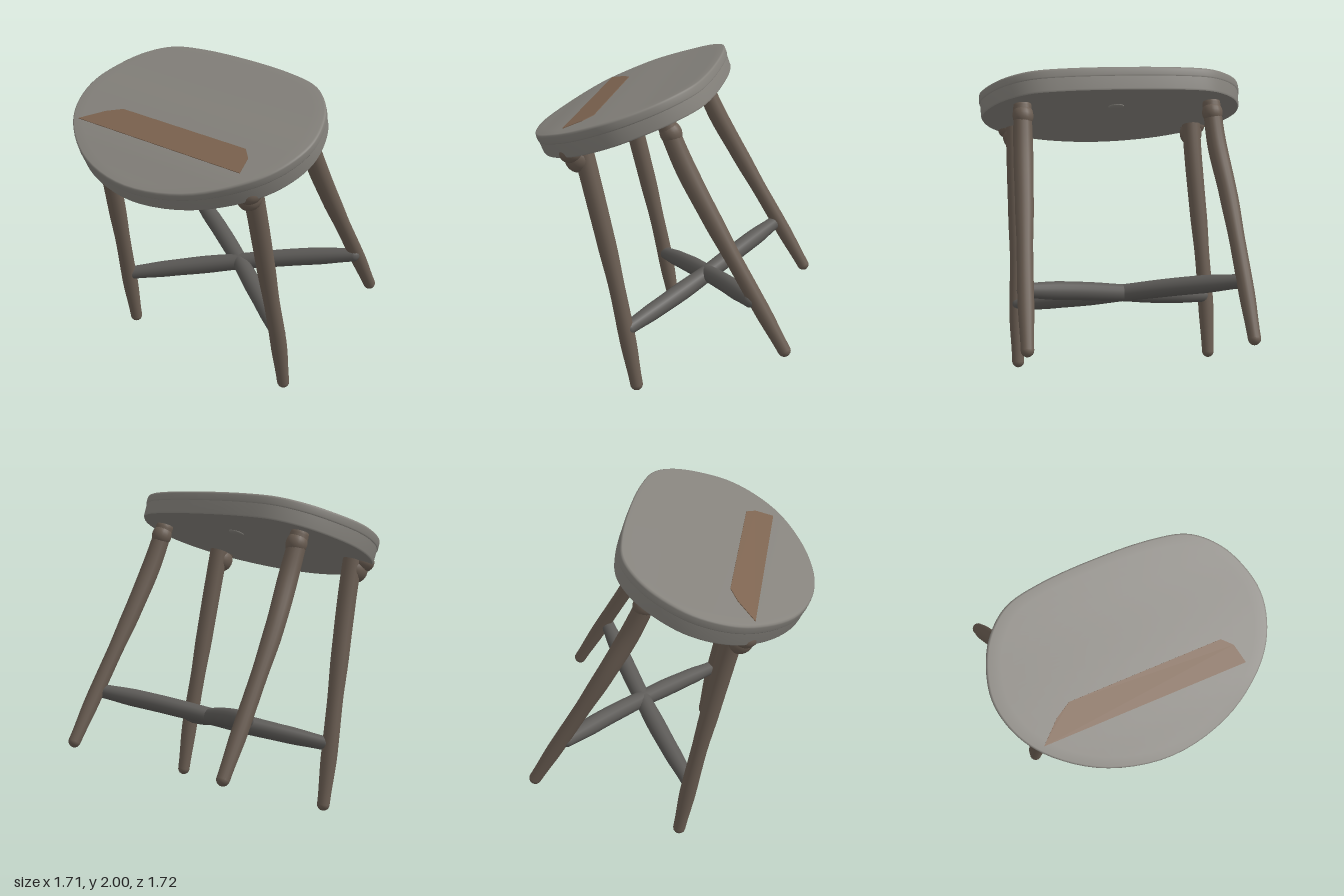
import * as THREE from 'three';

const V = (x, y, z) => new THREE.Vector3(x, y, z);
const paint = (color) => new THREE.MeshStandardMaterial({ color });
const seatMat = paint(0x85827c), legMat = paint(0x6a5d52), barMat = paint(0x5c5a57), stripMat = paint(0x7d6450);

// Round limb along a smooth path, its radius interpolated from a list
function limb(name, points, radii, mat) {
  const group = new THREE.Group();
  group.name = name;
  const path = new THREE.CatmullRomCurve3(points);
  const segs = 32, sides = 16;
  const geo = new THREE.TubeGeometry(path, segs, 1, sides);
  const pos = geo.attributes.position, p = V(0, 0, 0);
  for (let i = 0; i <= segs; i++) {
    const f = (i / segs) * (radii.length - 1);
    const k = Math.min(Math.floor(f), radii.length - 2);
    const r = THREE.MathUtils.lerp(radii[k], radii[k + 1], THREE.MathUtils.smoothstep(f - k, 0, 1));
    const c = path.getPointAt(i / segs);
    for (let j = 0; j <= sides; j++) {
      const n = i * (sides + 1) + j;
      p.fromBufferAttribute(pos, n).sub(c).multiplyScalar(r).add(c);
      pos.setXYZ(n, p.x, p.y, p.z);
    }
  }
  geo.computeBoundingSphere();
  group.add(new THREE.Mesh(geo, mat));
  // Rounded ends
  [[points[0], radii[0]], [points.at(-1), radii.at(-1)]].forEach(([c, r]) => {
    const end = new THREE.Mesh(new THREE.SphereGeometry(r, 16, 10), mat);
    end.position.copy(c);
    group.add(end);
  });
  return group;
}

// Swollen joint where a leg meets the seat
function joint(name, center, size, tilt) {
  const mesh = new THREE.Mesh(new THREE.SphereGeometry(1, 20, 14), legMat);
  mesh.name = name;
  mesh.position.copy(center);
  mesh.scale.copy(size);
  mesh.rotation.x = tilt;
  return mesh;
}

// Slight rise of the seat top towards the strip, falling off at the front edge
const crown = (z) => 0.01 * THREE.MathUtils.smoothstep(z, -0.05, 0.36)
  - 0.02 * THREE.MathUtils.smoothstep(z, 0.57, 0.87);

function createSeat() {
  const seat = new THREE.Group();
  seat.name = 'seat';
  const tilt = 0.373, thick = 0.145, stretch = 1 / Math.cos(tilt);
  // Half outline as [x, z] in plan, from back to front, mirrored to close
  const half = [[0, -0.29], [0.35, -0.275], [0.56, -0.235], [0.68, -0.16], [0.785, -0.03], [0.857, 0.2],
    [0.815, 0.41], [0.69, 0.59], [0.4, 0.785], [0, 0.868]];
  const ring = [...half, ...half.slice(1, -1).reverse().map(([x, z]) => [-x, z])];
  const outline = new THREE.CatmullRomCurve3(ring.map(([x, z]) => V(x, z, 0)), true);
  const around = 96, edge = outline.getPoints(around), midZ = 0.27;

  // Rings as [size, height, share of the crown]: top, rim, side, underside
  const profile = [];
  for (let i = 0; i <= 12; i++) profile.push([0.985 * i / 12, 0, 1]);
  profile.push([0.997, -0.006, 1], [1, -0.016, 1], [1, -0.05, 0.7], [0.993, -0.058, 0.6], [0.993, -0.058, 0.6],
    [0.99, -thick + 0.01, 0], [0.983, -thick, 0], [0.983, -thick, 0], [0, -thick, 0]);
  const pos = [], index = [];
  profile.forEach(([size, height, share], i) => {
    for (let j = 0; j < around; j++) {
      const z = midZ + (edge[j].y - midZ) * size;
      pos.push(edge[j].x * size, -z * stretch, height + share * crown(z));
      if (i === 0) continue;
      const k = (j + 1) % around, inner = (i - 1) * around, outer = i * around;
      index.push(inner + j, inner + k, outer + j, outer + j, inner + k, outer + k);
    }
  });
  const geo = new THREE.BufferGeometry();
  geo.setAttribute('position', new THREE.Float32BufferAttribute(pos, 3));
  geo.setIndex(index);
  geo.computeVertexNormals();
  const board = new THREE.Mesh(geo, seatMat);
  board.name = 'seatBoard';
  seat.add(board);

  // Worn brown strip across the front of the seat
  const strip = new THREE.Shape();
  [[-0.68, -0.545], [0.61, -0.545], [0.58, -0.43], [0.52, -0.375], [-0.45, -0.375], [-0.55, -0.43]]
    .forEach(([x, v], i) => strip[i ? 'lineTo' : 'moveTo'](x, v * stretch));
  strip.closePath();
  const stripMesh = new THREE.Mesh(new THREE.ExtrudeGeometry(strip, { depth: 0.004, bevelEnabled: false }), stripMat);
  stripMesh.name = 'seatStrip';
  stripMesh.position.z = crown(0.46);
  seat.add(stripMesh);

  // Small knot under the seat
  const knot = new THREE.Mesh(new THREE.SphereGeometry(0.05, 12, 8), seatMat);
  knot.name = 'undersideKnot';
  knot.scale.z = 0.3;
  knot.position.set(0, -0.05, -thick);
  seat.add(knot);

  seat.rotation.x = tilt - Math.PI / 2;
  seat.position.y = 1.885;
  return seat;
}

export function createModel() {
  const model = new THREE.Group();
  model.name = 'stool';
  model.add(createSeat());

  for (const s of [-1, 1]) {
    const side = s > 0 ? 'Left' : 'Right';
    const lean = s < 0 ? 0.02 : 0; // the right feet spread a little more
    model.add(limb(`front${side}Leg`,
      [V(s * 0.605, 1.6, 0.44), V(s * 0.61, 1.35, 0.38), V(s * (0.62 + lean), 0.75, 0.245),
        V(s * (0.635 + lean), 0.4, 0.175), V(s * (0.64 + lean), 0.04, 0.11)],
      [0.062, 0.06, 0.058, 0.05, 0.052, 0.04], legMat));
    model.add(limb(`back${side}Leg`,
      [V(s * 0.61, 1.74, -0.08), V(s * 0.62, 1.5, -0.185), V(s * (0.635 + lean), 1.2, -0.345),
        V(s * (0.665 + lean), 0.72, -0.62), V(s * (0.68 + lean), 0.38, -0.815)],
      [0.058, 0.062, 0.058, 0.05, 0.05, 0.04], legMat));
    model.add(joint(`front${side}Joint`, V(s * 0.61, 1.5, 0.455), V(0.075, 0.085, 0.085), 0));
    model.add(joint(`front${side}Bracket`, V(s * 0.63, 1.55, 0.49), V(0.085, 0.07, 0.08), 0.37));
    model.add(joint(`back${side}Joint`, V(s * 0.61, 1.69, -0.105), V(0.066, 0.075, 0.066), 0.5));

    // Crossed stretcher from this front leg to the opposite back leg
    model.add(limb(`stretcherFrom${side}`,
      [V(s * 0.63, 0.42, 0.16), V(s * 0.32, 0.49, -0.04), V(0, 0.56, -0.235),
        V(-s * 0.33, 0.63, -0.42), V(-s * 0.67, 0.69, -0.6)],
      [0.045, 0.056, 0.06, 0.055, 0.058, 0.058, 0.046], barMat));
  }
  return model;
}
